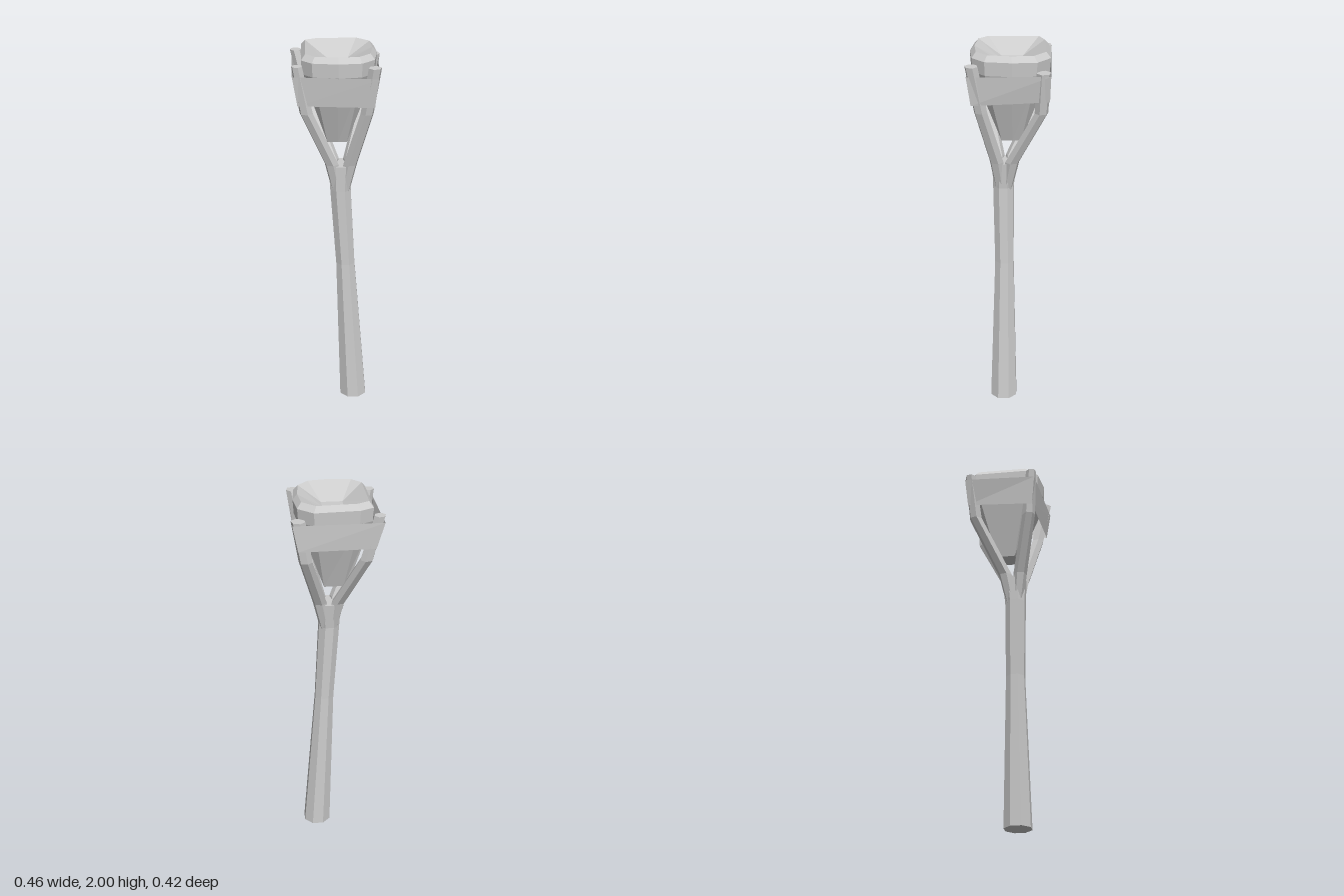
import * as THREE from 'three';

const stone = new THREE.MeshStandardMaterial({ color: 0xcccccc, side: THREE.DoubleSide, flatShading: true });
stone.name = 'paleGrey';

// Skin a stack of rings, each a list of [x, y, z] points, with optional end caps.
function loft(name, rings, caps = true) {
  const pos = [];
  const n = rings[0].length;
  const tri = (a, b, c) => pos.push(...a, ...b, ...c);
  for (let r = 0; r < rings.length - 1; r++) {
    for (let i = 0; i < n; i++) {
      const j = (i + 1) % n;
      tri(rings[r][i], rings[r + 1][i], rings[r][j]);
      tri(rings[r][j], rings[r + 1][i], rings[r + 1][j]);
    }
  }
  if (caps) {
    const first = rings[0], last = rings[rings.length - 1];
    for (let i = 1; i < n - 1; i++) {
      tri(first[0], first[i], first[i + 1]);
      tri(last[0], last[i + 1], last[i]);
    }
  }
  const g = new THREE.BufferGeometry();
  g.setAttribute('position', new THREE.Float32BufferAttribute(pos, 3));
  g.computeVertexNormals();
  const mesh = new THREE.Mesh(g, stone);
  mesh.name = name;
  return mesh;
}

// Regular ring around a centre.
function ring(x, y, z, r, sides, turn = 0) {
  return Array.from({ length: sides }, (_, i) => {
    const a = turn + (i / sides) * Math.PI * 2;
    return [x + r * Math.cos(a), y, z + r * Math.sin(a)];
  });
}

export function createModel() {
  const group = new THREE.Group();
  group.name = 'torch';

  // Slightly crooked shaft
  const shaft = [
    [0.1, 0, 0.025, 0.076],
    [0.055, 0.82, 0.022, 0.053],
    [0.028, 1.25, 0.027, 0.058],
    [0.03, 1.39, 0.02, 0.07],
  ];
  group.add(loft('shaft', shaft.map(([x, y, z, r]) => ring(x, y, z, r, 8, Math.PI / 8))));

  // Four prongs that branch from the shaft: knee point, tip point, radius
  const prongs = [
    ['frontLeftProng', [0.16, 1.7, 0.135], [0.197, 1.95, 0.178], 0.034],
    ['frontRightProng', [-0.145, 1.7, 0.13], [-0.19, 1.95, 0.152], 0.028],
    ['backRightProng', [-0.145, 1.7, -0.165], [-0.205, 1.94, -0.185], 0.03],
    ['backLeftProng', [0.16, 1.7, -0.168], [0.195, 1.92, -0.178], 0.037],
  ];
  for (const [name, k, t, r] of prongs) {
    const sx = Math.sign(k[0]), sz = Math.sign(k[2]);
    const turn = Math.atan2(sz, sx);
    group.add(loft(name, [
      ring(0.03 + sx * 0.012, 1.22, 0.025 + sz * 0.012, 0.03, 6, turn),
      ring(0.03 + sx * 0.048, 1.4, 0.02 + sz * 0.04, 0.037, 6, turn),
      ring(...k, 0.035, 6, turn),
      ring(...t, r, 6, turn),
    ]));
  }

  // Thin flared band around the prongs
  group.add(loft('band', [
    [[0.198, 1.745, 0.182], [-0.188, 1.745, 0.155], [-0.188, 1.77, -0.202], [0.198, 1.77, -0.21]],
    [[0.215, 1.9, 0.203], [-0.213, 1.9, 0.172], [-0.228, 1.91, -0.213], [0.225, 1.91, -0.214]],
  ], false));

  // Bowl with chamfered square rim, tapering underside and shallow basin
  const rim = [
    [0.187, -0.02], [0.175, 0.1], [0.12, 0.158], [0.015, 0.172], [-0.1, 0.158],
    [-0.148, 0.11], [-0.155, -0.148], [-0.095, -0.178], [0.107, -0.188], [0.175, -0.13],
  ];
  const rimRing = (s, y) => rim.map(([x, z]) => [0.01 + (x - 0.01) * s, y, -0.005 + (z + 0.005) * s]);
  const square = (h, y) => rim.map(([x, z]) => [
    0.01 + THREE.MathUtils.clamp(x - 0.01, -h, h), y,
    -0.015 + THREE.MathUtils.clamp(z + 0.015, -h, h),
  ]);
  group.add(loft('bowl', [
    square(0.05, 1.51),
    rimRing(1.1, 1.9),
    rimRing(1.13, 1.972),
    rimRing(1, 2),
    square(0.054, 1.93),
  ]));

  return group;
}
